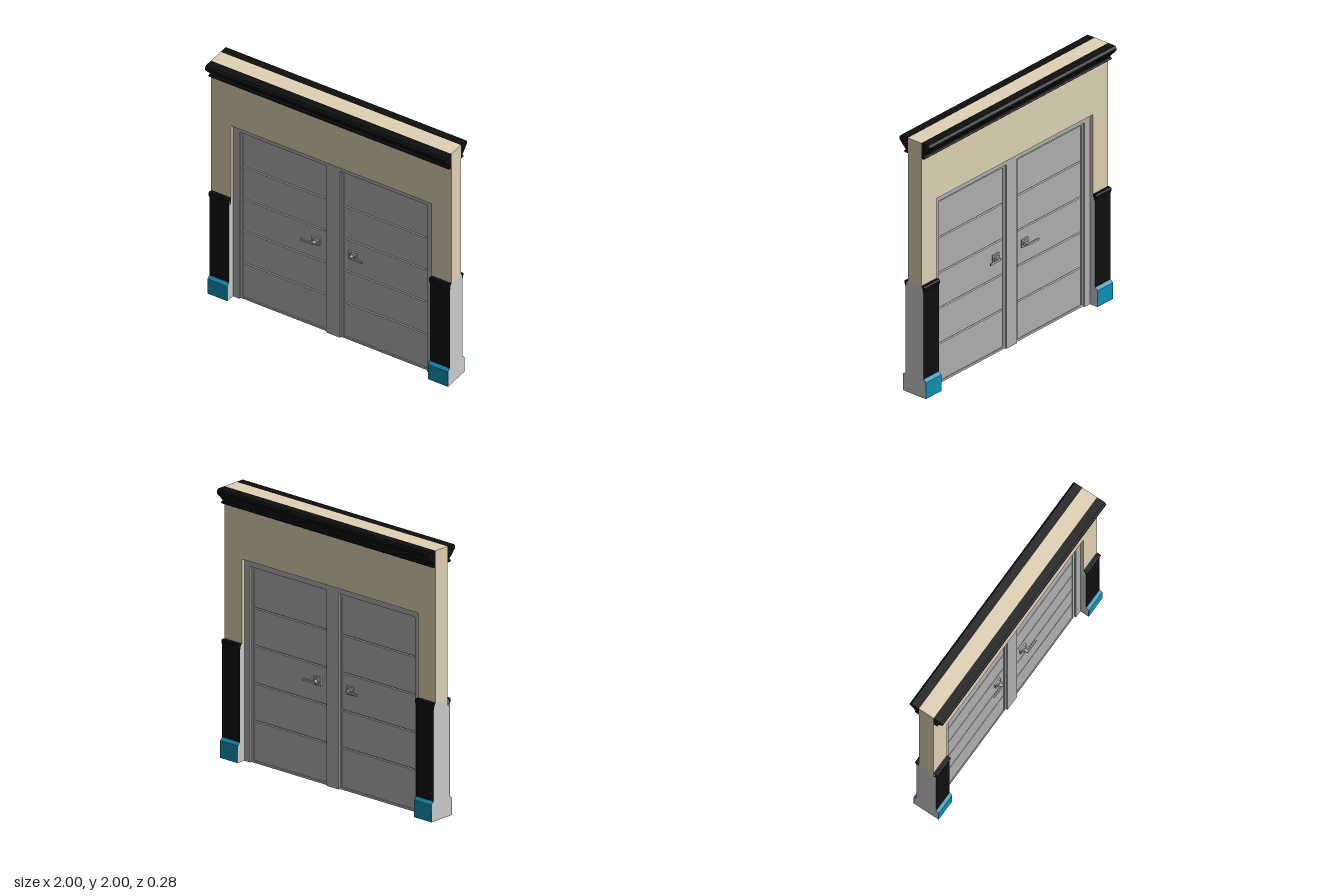
import * as THREE from 'three';

const mat = (color) => new THREE.MeshStandardMaterial({ color });
const grey = mat(0xcccccc), steel = mat(0xb0b0b0), tan = mat(0xe0d2b5);
const black = mat(0x0f0f0f), blue = mat(0x108fb4);

function add(parent, name, geometry, material, x = 0, y = 0, z = 0) {
  const m = new THREE.Mesh(geometry, material);
  m.name = name;
  m.position.set(x, y, z);
  parent.add(m);
  return m;
}

const outline = (pts) => new THREE.Shape(pts.map(([a, b]) => new THREE.Vector2(a, b)));
const rect = (x0, y0, x1, y1) => [[x0, y0], [x1, y0], [x1, y1], [x0, y1]];

// Front elevation outline, given thickness and centred on z = 0
function slab(shape, depth) {
  return new THREE.ExtrudeGeometry(shape, { depth, bevelEnabled: false }).translate(0, 0, -depth / 2);
}

// Cross-section of [z, y] points swept along x, centred on x = 0
function moulding(pts, length) {
  return slab(outline(pts), length).rotateY(-Math.PI / 2);
}

const OPEN = 0.835, TOP = 1.5, RAIL = 0.87;
const PIER = 1 - OPEN, PIER_X = (1 + OPEN) / 2;

const crown = [[0.062, 1.88], [0.09, 1.88], [0.096, 1.888], [0.09, 1.896], [0.077, 1.9],
  [0.14, 1.968], [0.14, 1.985], [0.127, 2], [0.062, 2]];
const chairRail = [[0.062, 0.82], [0.083, 0.82], [0.087, 0.838], [0.094, 0.852], [0.094, 0.866],
  [0.086, 0.874], [0.062, 0.874]];
const pierSide = [[0.105, 0], [0.105, 0.128], [0.083, 0.148], [0.083, 0.82], [0.068, RAIL]];
const skirting = [[0.1, 0.001], [0.106, 0.001], [0.106, 0.129], [0.084, 0.149], [0.08, 0.146], [0.1, 0.126]];

// One half of the trim: applied to the front, then turned round for the back
function buildTrim() {
  const g = new THREE.Group();
  add(g, 'crownMoulding', moulding(crown, 2), black);
  for (const s of [-1, 1]) {
    add(g, 'chairRail', moulding(chairRail, PIER), black, s * PIER_X);
    add(g, 'wainscotPanel', new THREE.BoxGeometry(PIER, 0.675, 0.002), black, s * PIER_X, 0.4835, 0.083);
    add(g, 'skirting', moulding(skirting, PIER), blue, s * PIER_X);
  }
  return g;
}

// Lever handle on a square plate, lever pointing towards +x
function buildHandle() {
  const g = new THREE.Group();
  g.name = 'handle';
  add(g, 'handlePlate', new THREE.BoxGeometry(0.068, 0.062, 0.012), steel, 0, 0, 0.006);
  add(g, 'handleRose', new THREE.CylinderGeometry(0.024, 0.024, 0.012, 24).rotateX(Math.PI / 2), steel, 0, 0, 0.016);
  add(g, 'handleSpindle', new THREE.CylinderGeometry(0.012, 0.012, 0.03, 20).rotateX(Math.PI / 2), steel, 0, 0, 0.033);
  add(g, 'handleLever', new THREE.BoxGeometry(0.114, 0.016, 0.01), steel, 0.047, 0, 0.046);
  return g;
}

// Door leaf section with V grooves on both faces
function leafSection(y0, y1, z) {
  const front = [[z, y0]];
  for (const y of [0.31, 0.588, 0.866, 1.145]) {
    front.push([z, y - 0.006], [z - 0.007, y], [z, y + 0.006]);
  }
  front.push([z, y1]);
  return [...front, ...front.map(([a, b]) => [-a, b]).reverse()];
}

function buildDoors() {
  const g = new THREE.Group();
  g.name = 'doubleDoor';

  // Frame with head, jambs and centre post
  const frame = outline([[-OPEN, 0], [-0.78, 0], [-0.78, 1.45], [-0.057, 1.45], [-0.057, 0], [0.057, 0],
    [0.057, 1.45], [0.78, 1.45], [0.78, 0], [OPEN, 0], [OPEN, TOP], [-OPEN, TOP]]);
  add(g, 'doorFrame', slab(frame, 0.07), steel);

  for (const s of [-1, 1]) {
    // Stepped stop around each leaf
    const stop = outline(rect(-0.3615, 0, 0.3615, 1.45));
    stop.holes.push(new THREE.Path(rect(-0.3425, 0.017, 0.3425, 1.43).map(([a, b]) => new THREE.Vector2(a, b))));
    add(g, 'doorStop', slab(stop, 0.042), steel, s * 0.4185);
    add(g, 'doorLeaf', moulding(leafSection(0.017, 1.43, 0.014), 0.685), steel, s * 0.4185);

    // Handles on both faces
    for (const f of [-1, 1]) {
      const h = buildHandle();
      h.position.set(s * 0.155, 0.75, f * 0.014);
      if (s * f < 0) h.children[3].position.x *= -1;
      if (f < 0) h.rotation.y = Math.PI;
      g.add(h);
    }
  }
  return g;
}

export function createModel() {
  const model = new THREE.Group();
  model.name = 'wallWithDoubleDoor';

  // Upper wall around the opening
  const wall = outline([[-1, RAIL], [-OPEN, RAIL], [-OPEN, TOP], [OPEN, TOP], [OPEN, RAIL], [1, RAIL], [1, 2], [-1, 2]]);
  add(model, 'upperWall', slab(wall, 0.124), tan);

  // Thicker lower piers either side of the doors
  const pier = [...pierSide, ...pierSide.map(([z, y]) => [-z, y]).reverse()];
  for (const s of [-1, 1]) {
    add(model, 'lowerWall', moulding(pier, PIER), grey, s * PIER_X);
    add(model, 'lowerWallUnderside', new THREE.PlaneGeometry(PIER, 0.21).rotateX(Math.PI / 2), tan, s * PIER_X, -0.0005);
  }

  // Trim on both faces
  for (const side of ['front', 'back']) {
    const trim = buildTrim();
    trim.name = side + 'Trim';
    if (side === 'back') trim.rotation.y = Math.PI;
    model.add(trim);
  }

  model.add(buildDoors());
  return model;
}
